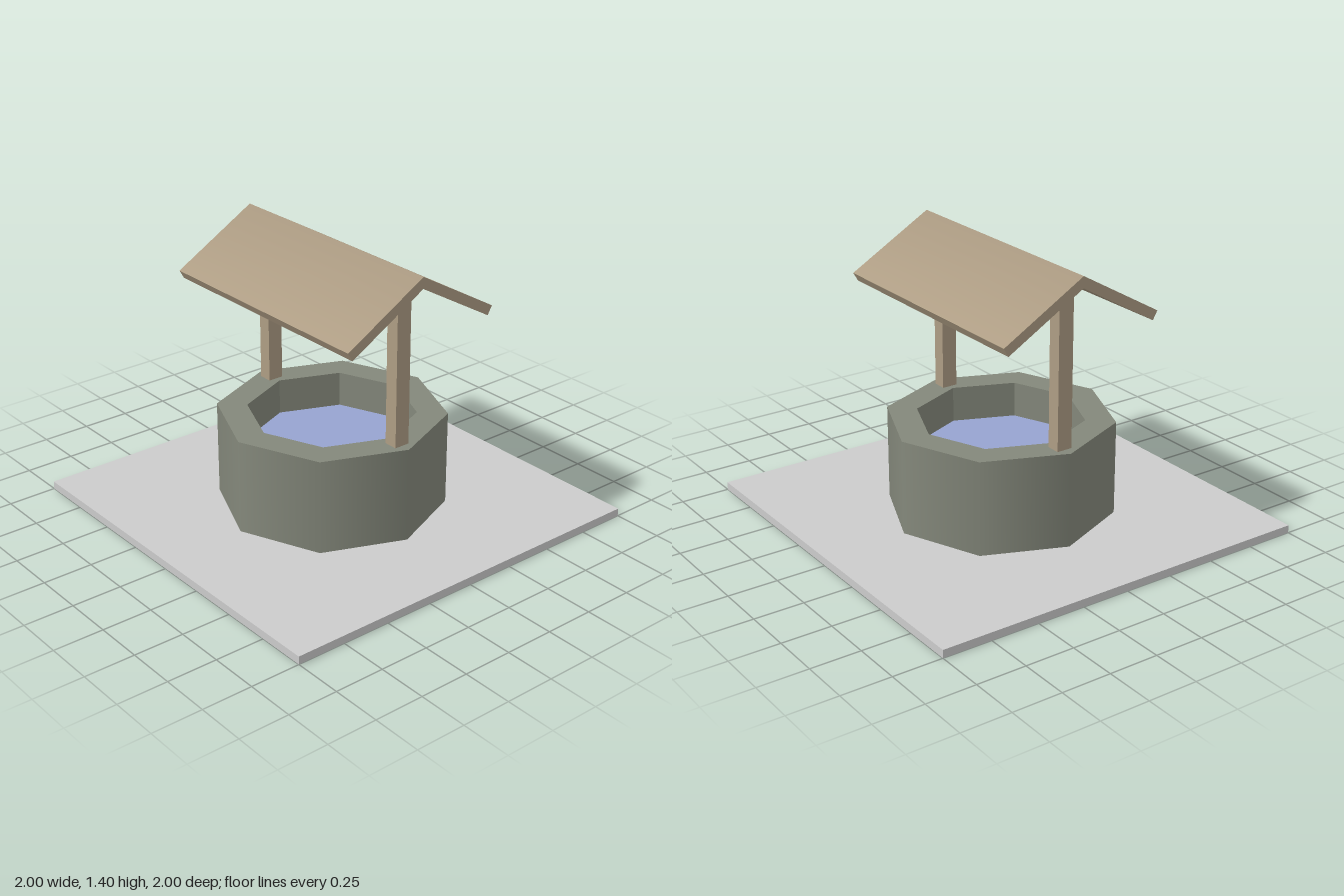
import * as THREE from 'three';

const material = (name, color) => {
  const m = new THREE.MeshStandardMaterial({ color });
  m.name = name;
  return m;
};

// corner points of an octagon with corners on the axes
const octagon = (radius) => Array.from({ length: 8 }, (_, i) =>
  new THREE.Vector2(Math.cos(i * Math.PI / 4) * radius, Math.sin(i * Math.PI / 4) * radius));

// replaces normals wherever rule(position, normal) returns a new one
function softenNormals(geometry, rule) {
  const { position, normal } = geometry.attributes;
  const p = new THREE.Vector3(), n = new THREE.Vector3();
  for (let i = 0; i < position.count; i++) {
    p.fromBufferAttribute(position, i);
    n.fromBufferAttribute(normal, i);
    const soft = rule(p, n);
    if (soft) normal.setXYZ(i, soft.x, soft.y, soft.z);
  }
  return geometry;
}

export function createModel() {
  const model = new THREE.Group();
  model.name = 'well';
  const paving = material('paving grey', 0xcccccc);
  const stone = material('stone grey', 0x84887b);
  const wood = material('wood brown', 0xae9d84);
  const waterBlue = material('water blue', 0x97a3d0);

  const add = (name, geometry, mat, x = 0, y = 0, z = 0) => {
    const mesh = new THREE.Mesh(geometry, mat);
    mesh.name = name;
    mesh.position.set(x, y, z);
    model.add(mesh);
    return mesh;
  };

  // paved slab
  add('groundSlab', new THREE.BoxGeometry(2, 0.04, 2), paving, 0, 0.02, 0);

  // octagonal stone ring: soft outside, faceted inside
  const ring = new THREE.Shape(octagon(0.565));
  ring.holes.push(new THREE.Path(octagon(0.415).reverse()));
  const wall = new THREE.ExtrudeGeometry(ring, { depth: 0.48, bevelEnabled: false });
  wall.rotateX(-Math.PI / 2);
  softenNormals(wall, (p, n) => Math.abs(n.y) < 0.5 && Math.hypot(p.x, p.z) > 0.5
    ? new THREE.Vector3(p.x, 0, p.z).normalize() : null);
  add('stoneWall', wall, stone, 0, 0.04, 0);

  // water surface
  const water = new THREE.CircleGeometry(0.415, 8);
  water.rotateX(-Math.PI / 2);
  add('water', water, waterBlue, 0, 0.34, 0);

  // posts standing on the wall
  for (const [side, name] of [[1, 'leftPost'], [-1, 'rightPost']]) {
    add(name, new THREE.BoxGeometry(0.07, 0.81, 0.08), wood, side * 0.48, 0.925, 0);
  }

  // gabled roof: chevron profile run along x, softened over the ridge
  const profile = new THREE.Shape([
    [0, 1.4], [-0.43, 1.153], [-0.405, 1.11], [0, 1.343], [0.405, 1.11], [0.43, 1.153],
  ].map(([x, y]) => new THREE.Vector2(x, y)));
  const roof = new THREE.ExtrudeGeometry(profile, { depth: 1.27, bevelEnabled: false });
  roof.translate(0, 0, -0.635);
  roof.rotateY(Math.PI / 2);
  softenNormals(roof, (p, n) => p.y > 1.39 && n.y > 0.5 ? new THREE.Vector3(0, 1, 0) : null);
  add('roof', roof, wood);

  return model;
}
